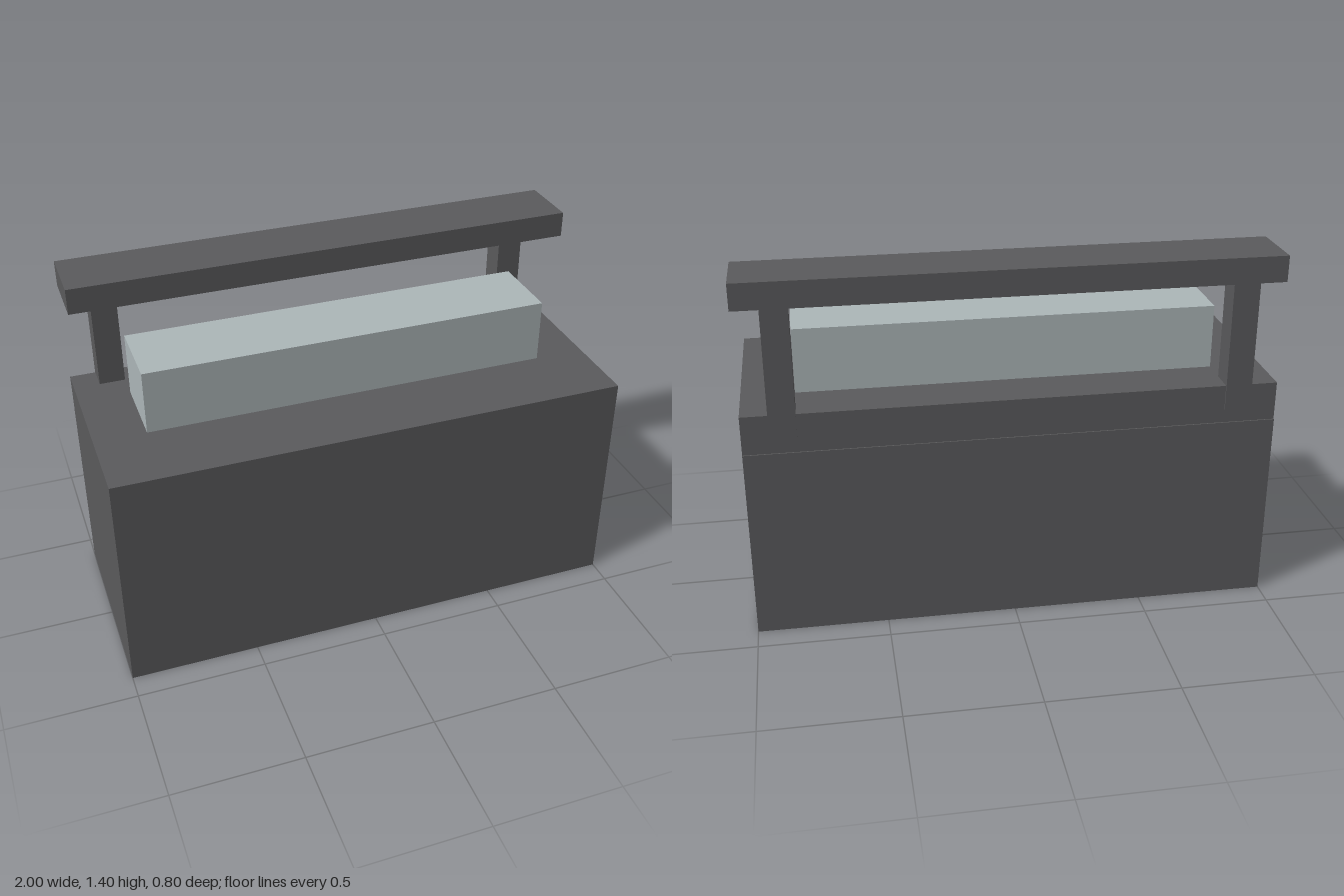
import * as THREE from 'three';

export function createModel() {
  const group = new THREE.Group();
  const darkGrey = new THREE.MeshStandardMaterial({ color: 0x5b5b5d, side: THREE.DoubleSide });
  const paleGrey = new THREE.MeshStandardMaterial({ color: 0xaeb8ba });

  // box given by its limits on each axis
  const addBox = (name, material, [x0, x1], [y0, y1], [z0, z1]) => {
    const mesh = new THREE.Mesh(new THREE.BoxGeometry(x1 - x0, y1 - y0, z1 - z0), material);
    mesh.position.set((x0 + x1) / 2, (y0 + y1) / 2, (z0 + z1) / 2);
    mesh.name = name;
    group.add(mesh);
  };

  // cabinet: side profile (-z, y) with a shallow recess at the top of the back
  const profile = new THREE.Shape([
    [-0.4, 0], [0.4, 0], [0.4, 0.75], [0.395, 0.75], [0.395, 0.9], [-0.4, 0.9],
  ].map(([x, y]) => new THREE.Vector2(x, y)));
  const solid = new THREE.ExtrudeGeometry(profile, { depth: 2, bevelEnabled: false });
  solid.translate(0, 0, -1).rotateY(Math.PI / 2);

  // leave the underside open: keep only triangles that rise above the floor
  const src = solid.attributes.position;
  const kept = [];
  for (let i = 0; i < src.count; i += 3) {
    if (Math.max(src.getY(i), src.getY(i + 1), src.getY(i + 2)) < 0.001) continue;
    for (let j = i; j < i + 3; j++) kept.push(src.getX(j), src.getY(j), src.getZ(j));
  }
  const shell = new THREE.BufferGeometry();
  shell.setAttribute('position', new THREE.Float32BufferAttribute(kept, 3));
  shell.computeVertexNormals();
  const cabinet = new THREE.Mesh(shell, darkGrey);
  cabinet.name = 'cabinet';
  group.add(cabinet);

  // pale block on the worktop
  addBox('topBlock', paleGrey, [-0.8, 0.8], [0.9, 1.15], [-0.2, 0.1]);

  // posts set into the back recess, carrying the shelf
  addBox('leftPost', darkGrey, [0.8, 0.9], [0.8, 1.3], [-0.4, -0.3]);
  addBox('rightPost', darkGrey, [-0.9, -0.8], [0.8, 1.3], [-0.4, -0.3]);
  addBox('shelf', darkGrey, [-1, 1], [1.3, 1.4], [-0.4, -0.15]);

  return group;
}
